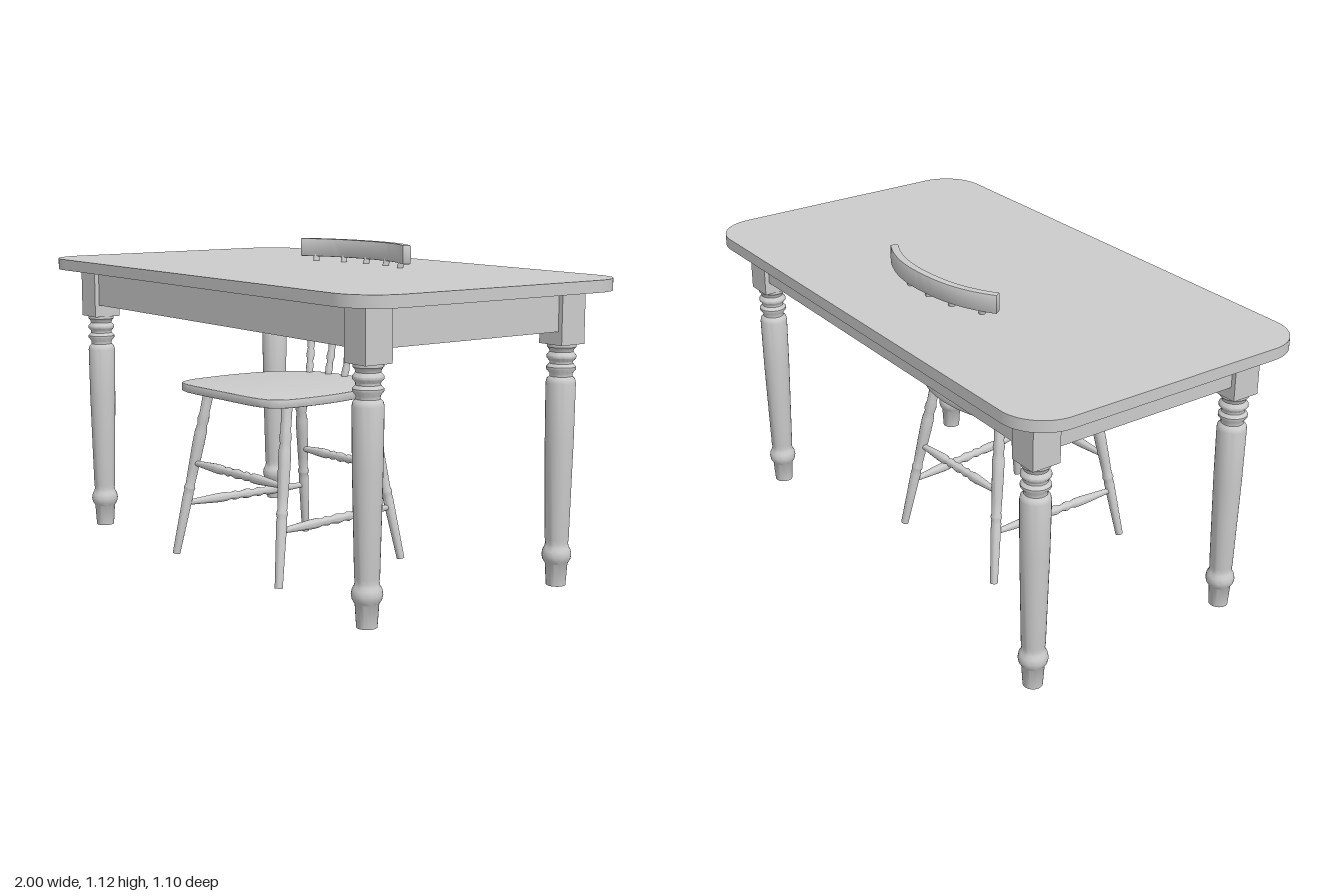
import * as THREE from 'three';
import { toCreasedNormals } from 'three/addons/utils/BufferGeometryUtils.js';

const material = new THREE.MeshStandardMaterial({ color: 0xcccccc });
const v2 = (x, y) => new THREE.Vector2(x, y);
const v3 = (x, y, z) => new THREE.Vector3(x, y, z);

function add(parent, name, geometry, x = 0, y = 0, z = 0) {
  const mesh = new THREE.Mesh(geometry, material);
  mesh.name = name;
  mesh.position.set(x, y, z);
  parent.add(mesh);
  return mesh;
}

// Turned part from [radius, height] pairs, closed at both ends
function turned(profile, sides) {
  const pts = [[0, profile[0][1]], ...profile, [0, profile[profile.length - 1][1]]];
  return toCreasedNormals(new THREE.LatheGeometry(pts.map(p => v2(p[0], p[1])), sides), 0.7);
}

// Turned bar between two points; profile heights run from 0 to 1
function bar(parent, name, a, b, profile) {
  const length = a.distanceTo(b);
  const mesh = add(parent, name, turned(profile.map(([r, t]) => [r, t * length]), 14), a.x, a.y, a.z);
  mesh.quaternion.setFromUnitVectors(v3(0, 1, 0), b.clone().sub(a).normalize());
}

// Slab from a plan outline (shape y = -z), standing on y = 0
function slab(shape, height, bevel, segments = 10) {
  const g = new THREE.ExtrudeGeometry(shape, {
    depth: height - 2 * bevel, curveSegments: segments, bevelEnabled: bevel > 0,
    bevelSize: bevel, bevelThickness: bevel, bevelOffset: -bevel, bevelSegments: 2,
  });
  g.translate(0, 0, bevel);
  g.rotateX(-Math.PI / 2);
  return toCreasedNormals(g, 0.6);
}

function createTable() {
  const table = new THREE.Group();
  table.name = 'table';

  // Top with rounded corners
  const w = 1, d = 0.552, r = 0.15;
  const s = new THREE.Shape();
  s.absarc(w - r, d - r, r, 0, Math.PI / 2);
  s.absarc(-w + r, d - r, r, Math.PI / 2, Math.PI);
  s.absarc(-w + r, -d + r, r, Math.PI, Math.PI * 1.5);
  s.absarc(w - r, -d + r, r, Math.PI * 1.5, Math.PI * 2);
  add(table, 'tableTop', slab(s, 0.04, 0), 0, 1, 0);

  // Turned legs under square blocks
  const leg = turned([
    [0.033, 0], [0.038, 0.075], [0.041, 0.08], [0.047, 0.09], [0.05, 0.105], [0.047, 0.122],
    [0.041, 0.132], [0.038, 0.145], [0.04, 0.16], [0.048, 0.5], [0.05, 0.69], [0.047, 0.703],
    [0.038, 0.712], [0.038, 0.722], [0.049, 0.736], [0.049, 0.744], [0.039, 0.755], [0.039, 0.762],
    [0.049, 0.774], [0.049, 0.782], [0.039, 0.794], [0.041, 0.802], [0.048, 0.81], [0.048, 0.822],
  ], 28);
  for (const x of [-0.832, 0.832]) {
    for (const z of [-0.405, 0.405]) {
      add(table, 'tableLeg', leg, x, 0, z);
      add(table, 'legBlock', new THREE.BoxGeometry(0.104, 0.18, 0.104), x, 0.91, z);
    }
  }

  // Aprons between the blocks
  for (const k of [-1, 1]) {
    add(table, 'longApron', new THREE.BoxGeometry(1.58, 0.135, 0.04), 0, 0.9325, k * 0.42);
    add(table, 'sideApron', new THREE.BoxGeometry(0.04, 0.135, 0.72), k * 0.847, 0.9325, 0);
  }
  return table;
}

function createChair() {
  const chair = new THREE.Group();
  chair.name = 'chair';

  // Seat with a rounded back and softly bowed front
  const half = [[0.25, 0.4], [0.288, 0.35], [0.3, 0.26], [0.297, 0.12], [0.265, -0.03], [0.19, -0.13], [0.1, -0.165]];
  const outline = [[0, 0.415], ...half, [0, -0.175], ...half.slice().reverse().map(([x, z]) => [-x, z])];
  const curve = new THREE.CatmullRomCurve3(outline.map(([x, z]) => v3(x, -z, 0)), true);
  const seat = new THREE.Shape(curve.getPoints(64).slice(0, -1).map(p => v2(p.x, p.y)));
  add(chair, 'seat', slab(seat, 0.03, 0.004), 0, 0.604, 0);

  const legProfile = [
    [0.014, 0], [0.019, 0.36], [0.017, 0.38], [0.021, 0.4], [0.017, 0.42], [0.019, 0.5], [0.022, 0.66],
    [0.022, 0.74], [0.018, 0.78], [0.022, 0.81], [0.018, 0.85], [0.02, 1],
  ];
  const stretcherProfile = [
    [0.009, 0], [0.012, 0.1], [0.017, 0.26], [0.017, 0.32], [0.012, 0.36], [0.017, 0.4], [0.012, 0.44],
    [0.018, 0.5], [0.012, 0.56], [0.017, 0.6], [0.012, 0.64], [0.017, 0.68], [0.017, 0.74], [0.012, 0.9], [0.009, 1],
  ];
  const spindleProfile = [
    [0.011, 0], [0.014, 0.08], [0.011, 0.12], [0.016, 0.17], [0.012, 0.22], [0.015, 0.28],
    [0.016, 0.4], [0.012, 0.48], [0.015, 0.53], [0.012, 0.58], [0.011, 1],
  ];

  // Splayed legs: foot and top of each, mirrored for the other side
  const front = k => [v3(k * 0.3, 0, 0.4), v3(k * 0.222, 0.61, 0.3)];
  const back = k => [v3(k * 0.27, 0, -0.182), v3(k * 0.182, 0.61, -0.085)];
  const at = ([a, b], y) => a.clone().lerp(b, y / 0.61);
  for (const k of [-1, 1]) {
    bar(chair, 'frontLeg', ...front(k), legProfile);
    bar(chair, 'backLeg', ...back(k), legProfile);
    bar(chair, 'sideStretcher', at(back(k), 0.188), at(front(k), 0.188), stretcherProfile);
  }
  for (const leg of [front, back]) {
    bar(chair, 'crossStretcher', at(leg(-1), 0.335), at(leg(1), 0.335), stretcherProfile);
  }

  // Curved crest rail
  const railZ = x => -0.257 + 0.075 * Math.pow(Math.abs(x) / 0.288, 2.4);
  const inner = [], outer = [];
  for (let i = 0; i <= 24; i++) {
    const x = -0.288 + i * 0.024;
    const slope = (railZ(x + 0.001) - railZ(x - 0.001)) / 0.002;
    const n = v2(-slope, 1).normalize().multiplyScalar(0.014);
    inner.push(v2(x + n.x, -(railZ(x) + n.y)));
    outer.push(v2(x - n.x, -(railZ(x) - n.y)));
  }
  add(chair, 'crestRail', slab(new THREE.Shape([...inner, ...outer.reverse()]), 0.066, 0.003), 0, 1.056, 0);

  // Fanned back spindles
  for (let i = -2; i <= 2; i++) {
    const topX = i * 0.118;
    bar(chair, 'backSpindle', v3(i * 0.082, 0.62, -0.142 + i * i * 0.007), v3(topX, 1.075, railZ(topX)), spindleProfile);
  }

  // Chair stands slightly turned
  chair.rotation.y = 0.06;
  return chair;
}

export function createModel() {
  const model = new THREE.Group();
  model.name = 'tableAndChair';
  model.add(createTable(), createChair());
  return model;
}
